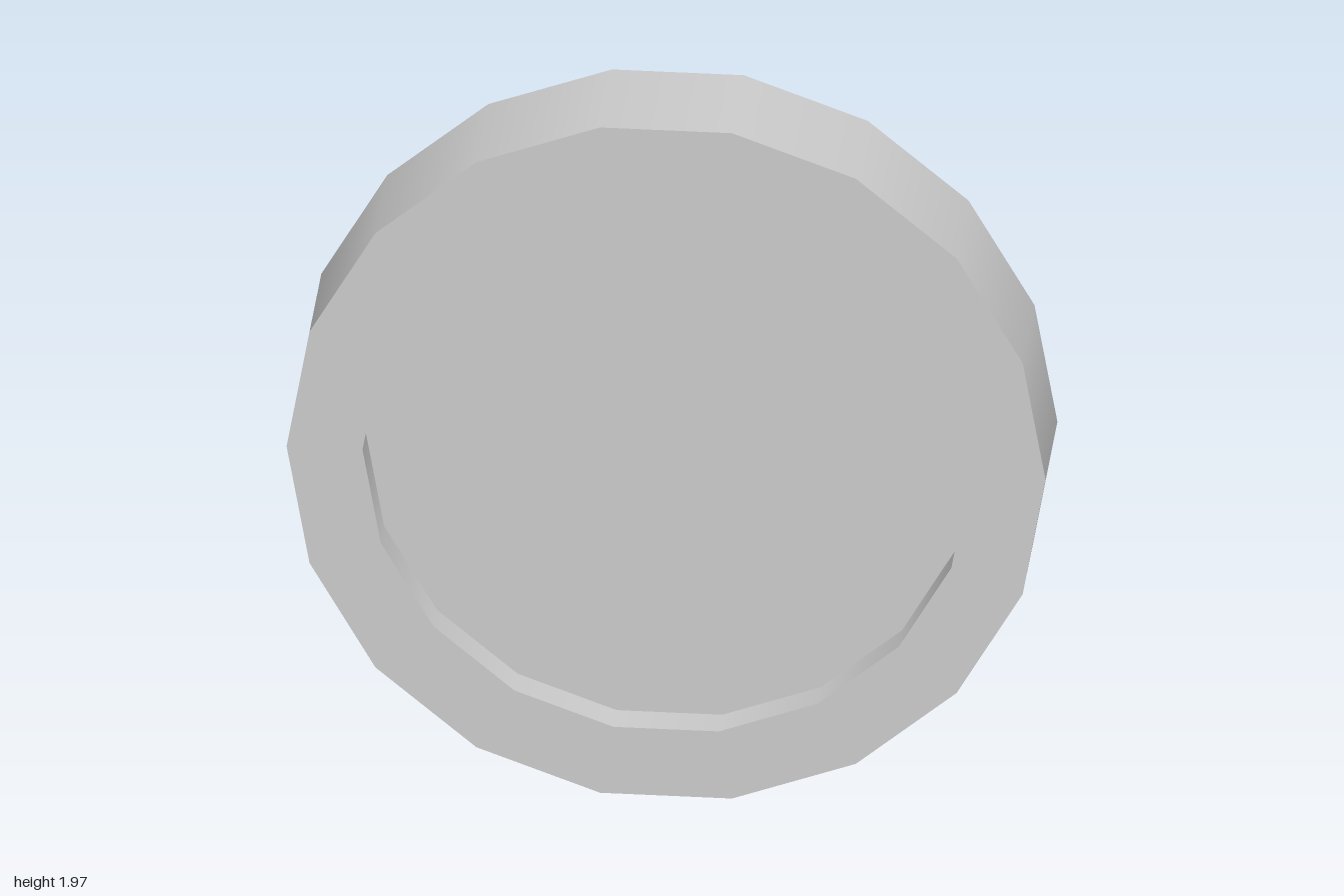
import * as THREE from 'three';
import { mergeGeometries } from 'three/addons/utils/BufferGeometryUtils.js';

const SIDES = 18;
const OUTER = 1, INNER = 0.8;   // rim radii
const HALF = 0.165, FLOOR = 0.07; // half depth of the rim and of the recessed disc

// Turns each profile step separately, so edges between steps stay sharp
// while the curved walls keep smooth normals.
function turned(profile) {
  const bands = [];
  for (let i = 0; i < profile.length - 1; i++) {
    const step = [profile[i], profile[i + 1]].map(([r, y]) => new THREE.Vector2(r, y));
    bands.push(new THREE.LatheGeometry(step, SIDES, Math.PI / 2));
  }
  return mergeGeometries(bands).rotateX(Math.PI / 2);
}

export function createModel() {
  const group = new THREE.Group();
  const material = new THREE.MeshStandardMaterial({ color: 0xcccccc });
  const add = (name, geometry) => {
    const mesh = new THREE.Mesh(geometry, material);
    mesh.name = name;
    mesh.position.y = Math.cos(Math.PI / SIDES) * OUTER; // rests on a flat side
    group.add(mesh);
  };

  // Rim: outer wall, both ring faces and the walls of both recesses
  add('rim', turned([
    [INNER, -FLOOR], [INNER, -HALF], [OUTER, -HALF],
    [OUTER, HALF], [INNER, HALF], [INNER, FLOOR],
  ]));

  // Recessed disc faces, front and back
  add('frontPanel', turned([[INNER, FLOOR], [0, FLOOR]]));
  add('backPanel', turned([[0, -FLOOR], [INNER, -FLOOR]]));

  return group;
}
